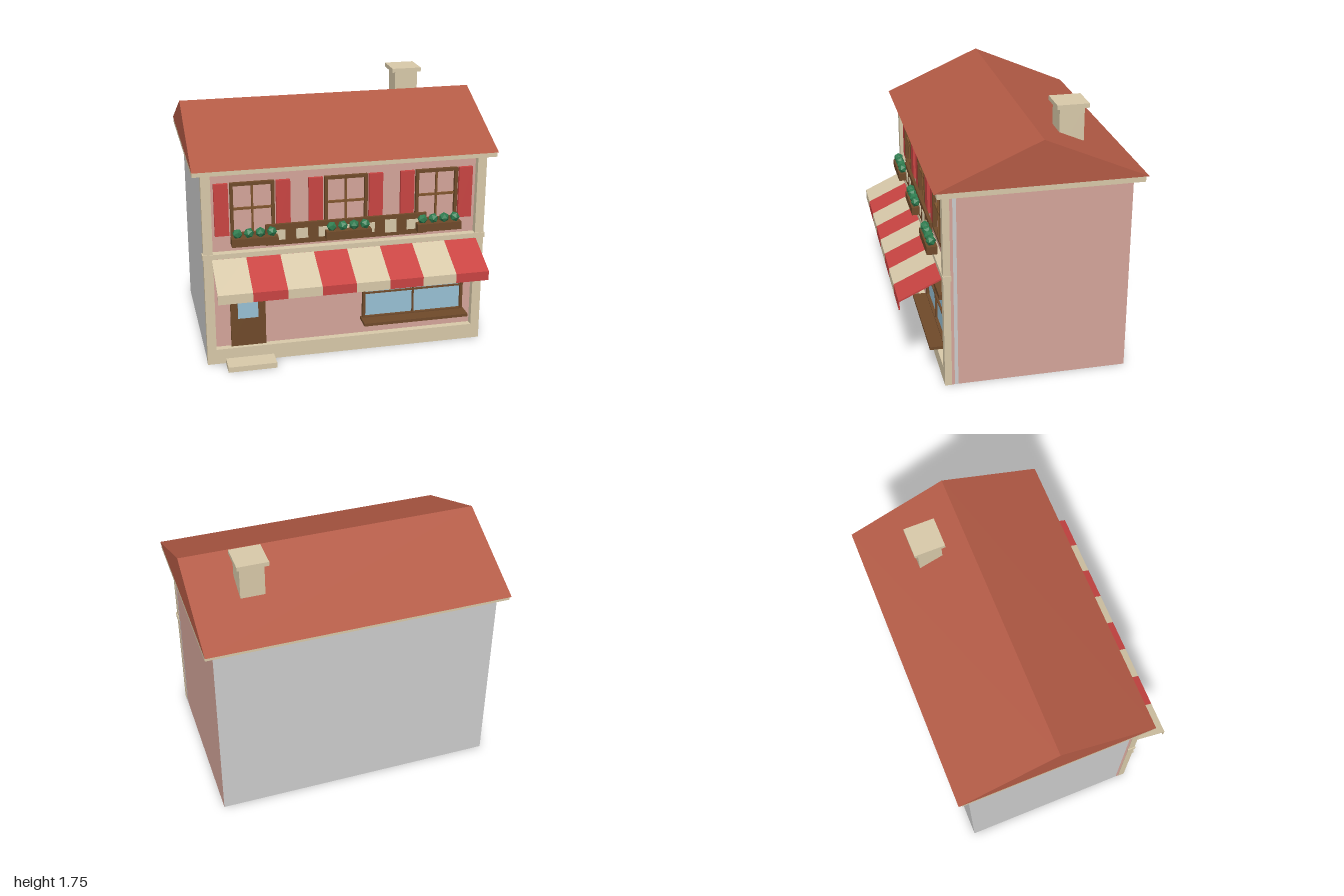
import * as THREE from 'three';

const mat = (name, color) => Object.assign(new THREE.MeshStandardMaterial({ color }), { name });

export function createModel() {
  const cream = mat('cream trim', 0xd8c9a9);
  const pink = mat('pink plaster', 0xd4a59a);
  const grey = mat('grey wall', 0xcccccc);
  const tile = mat('roof tile', 0xb35a45);
  const red = mat('red', 0xc94442);
  const brown = mat('dark wood', 0x6f4a2a);
  const wood = mat('light wood', 0x80552e);
  const blue = mat('blue glass', 0x98c0d4);
  const green = mat('leaf green', 0x2f7d50);
  green.flatShading = true;

  const root = new THREE.Group();
  root.name = 'shopHouse';

  const add = (name, geo, material, parent = root) => {
    const m = new THREE.Mesh(geo, material);
    m.name = name;
    parent.add(m);
    return m;
  };
  // Box given by its lower and upper limits on each axis
  const box = (name, material, [x0, x1], [y0, y1], [z0, z1], parent = root) => {
    const m = add(name, new THREE.BoxGeometry(x1 - x0, y1 - y0, z1 - z0), material, parent);
    m.position.set((x0 + x1) / 2, (y0 + y1) / 2, (z0 + z1) / 2);
    return m;
  };
  // Side profile of [z, y] points swept along x
  const sweep = (name, material, profile, x0, x1, parent = root) => {
    const shape = new THREE.Shape(profile.map(([z, y]) => new THREE.Vector2(-z, y)));
    const geo = new THREE.ExtrudeGeometry(shape, { depth: x1 - x0, bevelEnabled: false });
    geo.rotateY(Math.PI / 2).translate(x0, 0, 0);
    return add(name, geo, material, parent);
  };
  const group = (name, x = 0) => {
    const g = new THREE.Group();
    g.name = name;
    g.position.x = x;
    root.add(g);
    return g;
  };
  // Four bars round an opening
  const border = (name, material, [x0, x1], [y0, y1], z, w, parent) => {
    box(name, material, [x0, x0 + w], [y0, y1], z, parent);
    box(name, material, [x1 - w, x1], [y0, y1], z, parent);
    box(name, material, [x0 + w, x1 - w], [y0, y0 + w], z, parent);
    box(name, material, [x0 + w, x1 - w], [y1 - w, y1], z, parent);
  };

  // Walls: one plastered side, the rest bare
  box('body', [pink, grey, grey, grey, grey, grey], [-0.94, 0.94], [0, 1.325], [-0.697, 0.415]);
  box('wallJoint', grey, [-0.94, 0.94], [0, 1.325], [0.415, 0.438]);
  box('frontWall', pink, [-0.94, 0.94], [0, 1.325], [0.438, 0.457]);

  // Facade trim
  for (const s of [-1, 1]) {
    const x = [s * 0.943, s * 0.882].sort((a, b) => a - b);
    box('cornerPillar', cream, x, [0, 1.318], [0.457, 0.502]);
  }
  box('plinth', cream, [-0.882, 0.882], [0, 0.105], [0.457, 0.502]);
  box('floorBand', cream, [-0.95, 0.95], [0.752, 0.785], [0.452, 0.507]);

  // Roof and chimney
  box('eaves', cream, [-0.998, 0.998], [1.325, 1.36], [-0.754, 0.54]);
  sweep('roof', tile, [[0.56, 1.36], [-0.107, 1.65], [-0.775, 1.36]], -1, 1);
  box('chimney', cream, [0.53, 0.69], [1.42, 1.725], [-0.445, -0.285]);
  box('chimneyCap', cream, [0.505, 0.71], [1.725, 1.753], [-0.47, -0.264]);

  // Striped awning
  const awning = group('awning');
  const canopy = [[0.5, 0.748], [0.775, 0.62], [0.775, 0.557], [0.768, 0.557], [0.768, 0.612], [0.5, 0.737]];
  const stripe = 1.78 / 8;
  for (let i = 0; i < 8; i++) {
    const x = -0.89 + i * stripe;
    sweep('awningStripe', i % 2 ? red : cream, canopy, x, x + stripe, awning);
  }

  // Door and step
  box('door', brown, [-0.778, -0.545], [0.105, 0.6], [0.457, 0.475]);
  box('doorGlass', blue, [-0.73, -0.595], [0.305, 0.497], [0.474, 0.48]);
  box('doorStep', cream, [-0.823, -0.5], [0, 0.037], [0.508, 0.637]);

  // Shop window
  const shop = group('shopWindow');
  box('shopGlass', blue, [0.125, 0.81], [0.225, 0.59], [0.457, 0.465], shop);
  border('shopFrame', brown, [0.115, 0.82], [0.215, 0.595], [0.457, 0.485], 0.018, shop);
  box('shopMullion', brown, [0.463, 0.473], [0.233, 0.577], [0.46, 0.48], shop);
  box('shopTransom', brown, [0.133, 0.802], [0.396, 0.406], [0.46, 0.478], shop);
  box('shopSill', brown, [0.105, 0.83], [0.205, 0.225], [0.457, 0.577], shop);
  box('shopLintel', brown, [0.105, 0.83], [0.563, 0.597], [0.457, 0.512], shop);

  // Upper windows with shutters and flower boxes
  for (const x of [-0.615, -0.002, 0.61]) {
    const win = group('upperWindow', x);
    border('windowFrame', brown, [-0.143, 0.143], [0.89, 1.25], [0.457, 0.483], 0.02, win);
    box('windowMullion', wood, [-0.006, 0.006], [0.91, 1.23], [0.457, 0.475], win);
    box('windowTransom', wood, [-0.123, 0.123], [1.066, 1.08], [0.457, 0.473], win);
    for (const s of [-0.2, 0.2]) {
      box('shutter', red, [s - 0.046, s + 0.046], [0.898, 1.248], [0.457, 0.48], win);
    }
    box('flowerBox', brown, [-0.15, 0.15], [0.85, 0.903], [0.502, 0.571], win);
    for (let i = 0; i < 4; i++) {
      const leaf = add('plant', new THREE.IcosahedronGeometry(0.034, 0), green, win);
      leaf.position.set(-0.11 + i * 0.074, 0.93, 0.538);
      leaf.rotation.y = i * 0.7;
    }
  }

  // Signboard with plain blocks
  const sign = group('signboard');
  box('signBoard', brown, [-0.54, 0.535], [0.822, 0.963], [0.495, 0.515], sign);
  for (let i = 0; i < 7; i++) {
    const x = -0.45 + i * 0.148, h = i === 5 ? 0.045 : 0.034;
    box('signBlock', cream, [x - 0.039, x + 0.039], [0.892 - h, 0.892 + h], [0.514, 0.52], sign);
  }
  return root;
}
